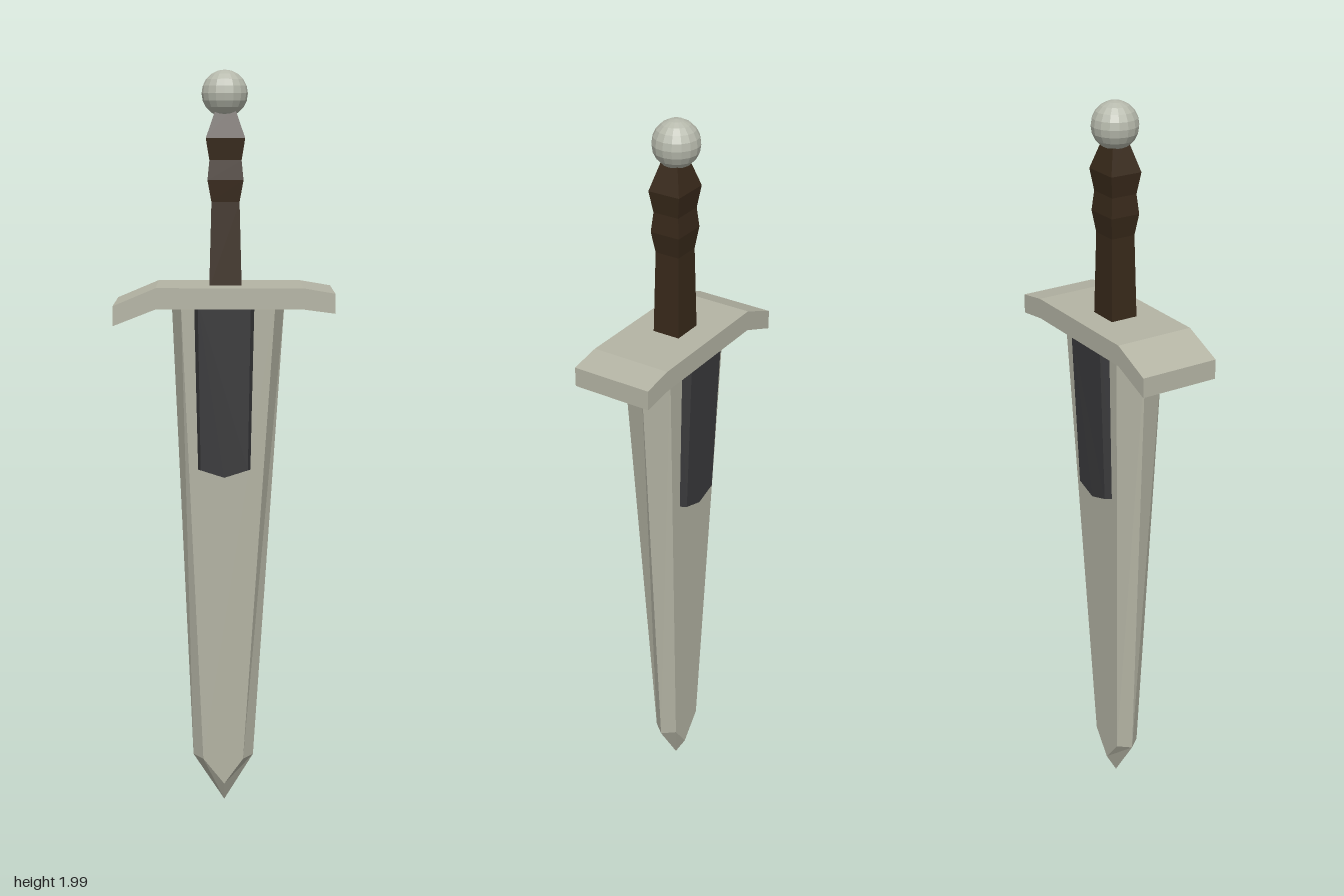
import * as THREE from 'three';

const steel = 0xb4b4a4, leather = 0x38291a, dark = 0x3a3a3c;

function addMesh(parent, name, geometry, color) {
  const material = new THREE.MeshStandardMaterial({ color, flatShading: true });
  const mesh = new THREE.Mesh(geometry, material);
  mesh.name = name;
  parent.add(mesh);
  return mesh;
}

// Closed, flat-faced solid through rings of equal length, each clockwise seen from the first end.
function loft(rings) {
  const positions = [];
  const tri = (a, b, c) => {
    const [p, q, r] = [a, b, c].map((v) => new THREE.Vector3(...v));
    if (q.sub(p).cross(r.sub(p)).length() > 1e-9) positions.push(...a, ...b, ...c);
  };
  const n = rings[0].length;
  for (let k = 0; k < rings.length - 1; k++) {
    for (let i = 0; i < n; i++) {
      const j = (i + 1) % n;
      const a = rings[k][i], b = rings[k][j], c = rings[k + 1][j], d = rings[k + 1][i];
      tri(a, b, c);
      tri(a, c, d);
    }
  }
  const first = rings[0], last = rings[rings.length - 1];
  for (let i = 1; i < n - 1; i++) {
    tri(first[0], first[i + 1], first[i]);
    tri(last[0], last[i], last[i + 1]);
  }
  const geometry = new THREE.BufferGeometry();
  geometry.setAttribute('position', new THREE.Float32BufferAttribute(positions, 3));
  geometry.computeVertexNormals();
  return geometry;
}

// Six-sided blade section: cutting edges at half width w, flats at half width f and depth t
const bladeRing = (x, edgeY, flatY, w, f, t) => [
  [x + w, edgeY, 0], [x + f, flatY, t], [x - f, flatY, t],
  [x - w, edgeY, 0], [x - f, flatY, -t], [x + f, flatY, -t],
];

const squareRing = (y, w, d, x = 0.003) => [
  [x + w, y, -d], [x + w, y, d], [x - w, y, d], [x - w, y, -d],
];

// Pointed panel outline; depth differs between its top and bottom
const panelRing = (top, bottom, cornerY, tipY, zTop, zBottom) => [
  [-top, 1.42, zTop], [top, 1.42, zTop], [bottom, cornerY, zBottom],
  [0, tipY, zBottom], [-bottom, cornerY, zBottom],
];

export function createModel() {
  const sword = new THREE.Group();
  sword.name = 'sword';

  // Tapered blade closing to a point
  addMesh(sword, 'blade', loft([
    bladeRing(0.01, 1.42, 1.42, 0.148, 0.122, 0.07),
    bladeRing(-0.003, 0.145, 0.145, 0.083, 0.055, 0.034),
    bladeRing(0, 0.01, 0.07, 0, 0, 0.032),
  ]), steel);

  // Dark bevelled panel on each face
  const panel = loft([
    panelRing(0.068, 0.062, 0.975, 0.955, 0.092, 0.075),
    panelRing(0.082, 0.074, 0.972, 0.95, 0.06, 0.045),
  ]);
  addMesh(sword, 'frontPanel', panel, dark);
  addMesh(sword, 'backPanel', panel, dark).rotation.y = Math.PI;

  // Crossguard with drooping ends
  const guard = new THREE.Shape([
    [-0.285, 1.36], [-0.175, 1.403], [0.2, 1.403], [0.283, 1.392],
    [0.283, 1.443], [0.2, 1.457], [-0.175, 1.457], [-0.285, 1.411],
  ].map(([x, y]) => new THREE.Vector2(x, y)));
  const guardGeometry = new THREE.ExtrudeGeometry(guard, { depth: 0.212, bevelEnabled: false });
  guardGeometry.translate(0, 0, -0.106);
  addMesh(sword, 'crossguard', guardGeometry, steel);

  // Square grip with two swellings
  addMesh(sword, 'grip', loft([
    squareRing(1.91, 0.022, 0.02),
    squareRing(1.83, 0.05, 0.043),
    squareRing(1.775, 0.041, 0.035),
    squareRing(1.725, 0.046, 0.04),
    squareRing(1.67, 0.036, 0.033),
    squareRing(1.45, 0.042, 0.037),
  ]), leather);

  // Round pommel
  const pommel = addMesh(sword, 'pommel', new THREE.SphereGeometry(0.059, 16, 10), 0xb6b9ac);
  pommel.position.set(0.001, 1.941, -0.002);

  return sword;
}
